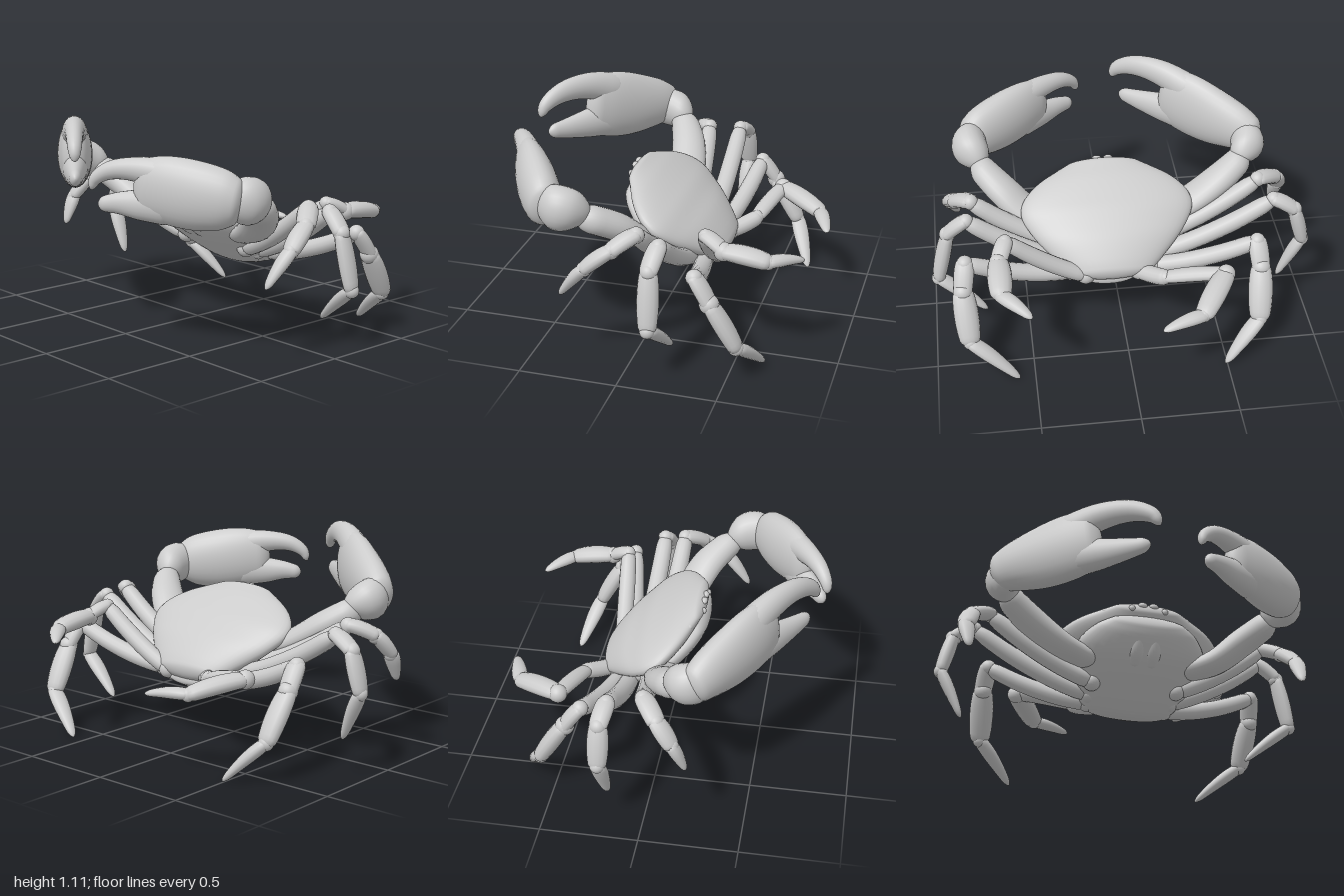
import * as THREE from 'three';

const V = (x, y, z) => new THREE.Vector3(x, y, z);
const material = new THREE.MeshStandardMaterial({ color: 0xcccccc, side: THREE.DoubleSide });
const UP = V(0, 1, 0);

// Smooth closed solid through rings [x, y, z, halfWidth, halfHeight], rounded over `end` of its length
function loft(name, rings, end = 0.12, steps = 28, sides = 22) {
  const path = new THREE.CatmullRomCurve3(rings.map(r => V(r[0], r[1], r[2])));
  const size = new THREE.CatmullRomCurve3(rings.map(r => V(r[3], r[4], 0)), false, 'catmullrom', 0.5);
  const side = UP.clone().cross(path.getPoint(1).sub(path.getPoint(0))).normalize();
  const positions = [], index = [];
  for (let i = 0; i <= steps; i++) {
    const t = (1 - Math.cos(Math.PI * i / steps)) / 2;
    const p = path.getPoint(t), s = size.getPoint(t);
    const high = path.getTangent(t).cross(side).normalize();
    const k = Math.max(0, 1 - Math.min(t, 1 - t) / end);
    const round = Math.max(0.002, Math.sqrt(1 - k * k));
    for (let j = 0; j < sides; j++) {
      const a = j / sides * Math.PI * 2;
      const q = p.clone().addScaledVector(side, Math.cos(a) * s.x * round)
        .addScaledVector(high, Math.sin(a) * s.y * round);
      positions.push(q.x, q.y, q.z);
      if (i < steps) {
        const n = (j + 1) % sides, r0 = i * sides, r1 = r0 + sides;
        index.push(r0 + j, r0 + n, r1 + j, r0 + n, r1 + n, r1 + j);
      }
    }
  }
  const g = new THREE.BufferGeometry();
  g.setAttribute('position', new THREE.Float32BufferAttribute(positions, 3));
  g.setIndex(index);
  g.computeVertexNormals();
  const mesh = new THREE.Mesh(g, material);
  mesh.name = name;
  return mesh;
}

function ball(name, x, y, z, rx, ry = rx, rz = rx) {
  const mesh = new THREE.Mesh(new THREE.SphereGeometry(1, 20, 14), material);
  mesh.position.set(x, y, z);
  mesh.scale.set(rx, ry, rz);
  mesh.name = name;
  return mesh;
}

// Point on the tilted body: v runs rear to front, n rises out of the shell
const onBody = (x, v, n) => [x, 0.565 + 0.62 * v + 0.78 * n, -0.075 + 0.78 * v - 0.62 * n];

function buildBody() {
  const body = new THREE.Group();
  body.name = 'body';
  const CX = 0.058;
  // Carapace: [v, half width, half thickness]
  const shell = [[-0.33, 0.17, 0.05], [-0.25, 0.25, 0.08], [-0.14, 0.35, 0.1], [-0.05, 0.415, 0.1],
    [0.03, 0.452, 0.1], [0.1, 0.445, 0.09], [0.16, 0.405, 0.08], [0.22, 0.335, 0.068],
    [0.28, 0.23, 0.05], [0.33, 0.14, 0.035]];
  body.add(loft('carapace', shell.map(([v, w, h]) => [...onBody(CX, v, 0.01), w, h]), 0.05, 44, 48));
  // Underside
  const belly = [[-0.32, 0.19, 0.05], [-0.24, 0.27, 0.085], [-0.08, 0.33, 0.1], [0.1, 0.35, 0.1],
    [0.22, 0.27, 0.075], [0.29, 0.16, 0.04]];
  body.add(loft('underside', belly.map(([v, w, h]) => [...onBody(CX, v, -0.06), w, h]), 0.06, 32, 36));
  // Folded tail plate at the rear
  body.add(loft('tailPlate', [[0.07, 0.335, -0.16, 0.07, 0.03], [0.07, 0.33, -0.24, 0.11, 0.04],
    [0.07, 0.365, -0.32, 0.14, 0.04]], 0.15));
  // Mouth plates, eyes and front teeth
  for (const s of [-1, 1]) {
    body.add(loft('mouthPlate', [[...onBody(CX + s * 0.045, 0.04, -0.145), 0.035, 0.02],
      [...onBody(CX + s * 0.045, 0.13, -0.135), 0.045, 0.03],
      [...onBody(CX + s * 0.04, 0.25, -0.09), 0.03, 0.02]]));
    body.add(ball('eye', ...onBody(CX + s * 0.09, 0.315, -0.01), 0.018));
    for (const [x, v] of [[0.03, 0.328], [0.14, 0.298], [0.22, 0.265]])
      body.add(ball('frontTooth', ...onBody(CX + s * x, v, 0.01), 0.026, 0.017, 0.018));
  }
  return body;
}

// Walking leg through base, knee, wrist, ankle and tip; each segment swells in the middle
function buildLeg(name, points, widths) {
  const leg = new THREE.Group();
  leg.name = name;
  const names = ['upperLeg', 'kneeSegment', 'lowerLeg', 'toe'];
  const profiles = [[0.95, 1, 1, 0.9], [0.85, 1, 1, 0.9], [0.8, 1, 1, 0.8], [0.85, 0.95, 0.75, 0.38]];
  names.forEach((part, i) => {
    const a = V(...points[i]), b = V(...points[i + 1]);
    const sag = i === 0 ? -0.05 * Math.abs(b.x - a.x) : 0.008;
    const dir = b.clone().sub(a).normalize();
    a.addScaledVector(dir, -0.022);
    if (i < 3) b.addScaledVector(dir, 0.022);
    const rings = profiles[i].map((k, j) => {
      const p = a.clone().lerp(b, j / 3);
      if (j === 1 || j === 2) p.y += sag;
      return [p.x, p.y, p.z, widths[i] * k, widths[i] * k * (i === 0 ? 0.95 : 0.74)];
    });
    leg.add(loft(part, rings, 0.13, 18, 14));
    if (i) leg.add(ball('joint', ...points[i], widths[i] * 0.8));
  });
  leg.add(ball('hip', ...points[0], 0.05));
  return leg;
}

// Pincer: rings [x, y, halfWidth, halfHeight]; depth follows from x
function buildClaw(name, { arm, wrist, depth, palm, upper, lower }) {
  const claw = new THREE.Group();
  claw.name = name;
  const rings = list => list.map(([x, y, a, b]) => [x, y, depth(x), a, b]);
  claw.add(loft('arm', arm));
  claw.add(loft('wrist', wrist, 0.35));
  claw.add(loft('palm', rings(palm), 0.1, 32, 28));
  claw.add(loft('upperFinger', rings(upper)));
  claw.add(loft('lowerFinger', rings(lower)));
  return claw;
}

export function createModel() {
  const crab = new THREE.Group();
  crab.name = 'crab';
  crab.add(buildBody());

  crab.add(buildClaw('rightClaw', {
    arm: [[-0.18, 0.5, -0.01, 0.07, 0.05], [-0.37, 0.56, 0.02, 0.095, 0.06],
      [-0.56, 0.67, 0.065, 0.092, 0.072], [-0.72, 0.77, 0.14, 0.07, 0.068]],
    wrist: [[-0.68, 0.77, 0.08, 0.075, 0.065], [-0.73, 0.795, 0.19, 0.09, 0.105], [-0.72, 0.82, 0.33, 0.08, 0.1]],
    depth: x => 0.27 + (x + 0.72) * 0.74,
    palm: [[-0.79, 0.8, 0.07, 0.09], [-0.69, 0.835, 0.09, 0.138], [-0.55, 0.865, 0.095, 0.178],
      [-0.42, 0.9, 0.085, 0.185], [-0.31, 0.92, 0.055, 0.15]],
    upper: [[-0.52, 0.95, 0.08, 0.1], [-0.32, 1.035, 0.06, 0.075], [-0.18, 1.035, 0.045, 0.058],
      [-0.09, 0.985, 0.035, 0.04], [-0.06, 0.925, 0.02, 0.018]],
    lower: [[-0.5, 0.82, 0.08, 0.11], [-0.32, 0.82, 0.06, 0.085], [-0.2, 0.822, 0.042, 0.058],
      [-0.1, 0.828, 0.025, 0.034]],
  }));

  crab.add(buildClaw('leftClaw', {
    arm: [[0.28, 0.5, -0.03, 0.07, 0.05], [0.47, 0.56, 0.04, 0.095, 0.06],
      [0.6, 0.66, 0.12, 0.092, 0.072], [0.74, 0.76, 0.26, 0.07, 0.07]],
    wrist: [[0.71, 0.76, 0.21, 0.075, 0.075], [0.755, 0.795, 0.34, 0.095, 0.115], [0.75, 0.805, 0.47, 0.08, 0.1]],
    depth: x => 0.42 + (0.76 - x) * 0.62,
    palm: [[0.78, 0.79, 0.07, 0.09], [0.7, 0.805, 0.095, 0.145], [0.58, 0.82, 0.1, 0.168],
      [0.45, 0.84, 0.085, 0.163], [0.32, 0.845, 0.052, 0.13]],
    upper: [[0.52, 0.89, 0.075, 0.095], [0.34, 0.93, 0.055, 0.062], [0.22, 0.92, 0.042, 0.045],
      [0.155, 0.875, 0.032, 0.032], [0.135, 0.82, 0.018, 0.015]],
    lower: [[0.5, 0.76, 0.075, 0.1], [0.34, 0.76, 0.055, 0.075], [0.25, 0.762, 0.042, 0.053],
      [0.165, 0.75, 0.028, 0.034]],
  }));

  // Walking legs, front pair to back pair
  const legs = {
    rightLeg1: [[-0.18, 0.42, -0.08], [-0.75, 0.7, -0.01], [-0.86, 0.65, 0.07], [-0.9, 0.55, 0.15], [-0.89, 0.4, 0.22]],
    rightLeg2: [[-0.17, 0.39, -0.18], [-0.8, 0.69, -0.18], [-0.91, 0.63, -0.2], [-0.965, 0.43, -0.2], [-0.85, 0.175, -0.18]],
    rightLeg3: [[-0.16, 0.37, -0.25], [-0.69, 0.55, -0.34], [-0.7, 0.44, -0.42], [-0.68, 0.21, -0.56], [-0.49, 0.005, -0.66]],
    rightLeg4: [[-0.08, 0.38, -0.3], [-0.2, 0.42, -0.42], [-0.5, 0.48, -0.5], [-0.345, 0.425, -0.74], [-0.13, 0.41, -0.815]],
    leftLeg1: [[0.29, 0.42, -0.08], [0.77, 0.71, -0.04], [0.85, 0.65, 0.06], [0.88, 0.55, 0.19], [0.85, 0.38, 0.33]],
    leftLeg2: [[0.28, 0.39, -0.18], [0.8, 0.68, -0.16], [0.9, 0.59, -0.14], [0.965, 0.31, -0.15], [0.72, 0.11, -0.2]],
    leftLeg3: [[0.27, 0.37, -0.25], [0.82, 0.55, -0.34], [0.84, 0.43, -0.42], [0.82, 0.2, -0.55], [0.58, 0.005, -0.64]],
    leftLeg4: [[0.2, 0.38, -0.3], [0.61, 0.67, -0.34], [0.65, 0.62, -0.44], [0.65, 0.59, -0.66], [0.51, 0.56, -0.81]],
  };
  const widths = [[0.05, 0.052, 0.052, 0.047], [0.05, 0.05, 0.053, 0.047],
    [0.048, 0.052, 0.062, 0.048], [0.046, 0.046, 0.06, 0.044]];
  for (const [name, points] of Object.entries(legs))
    crab.add(buildLeg(name, points, widths[name.slice(-1) - 1]));
  return crab;
}
